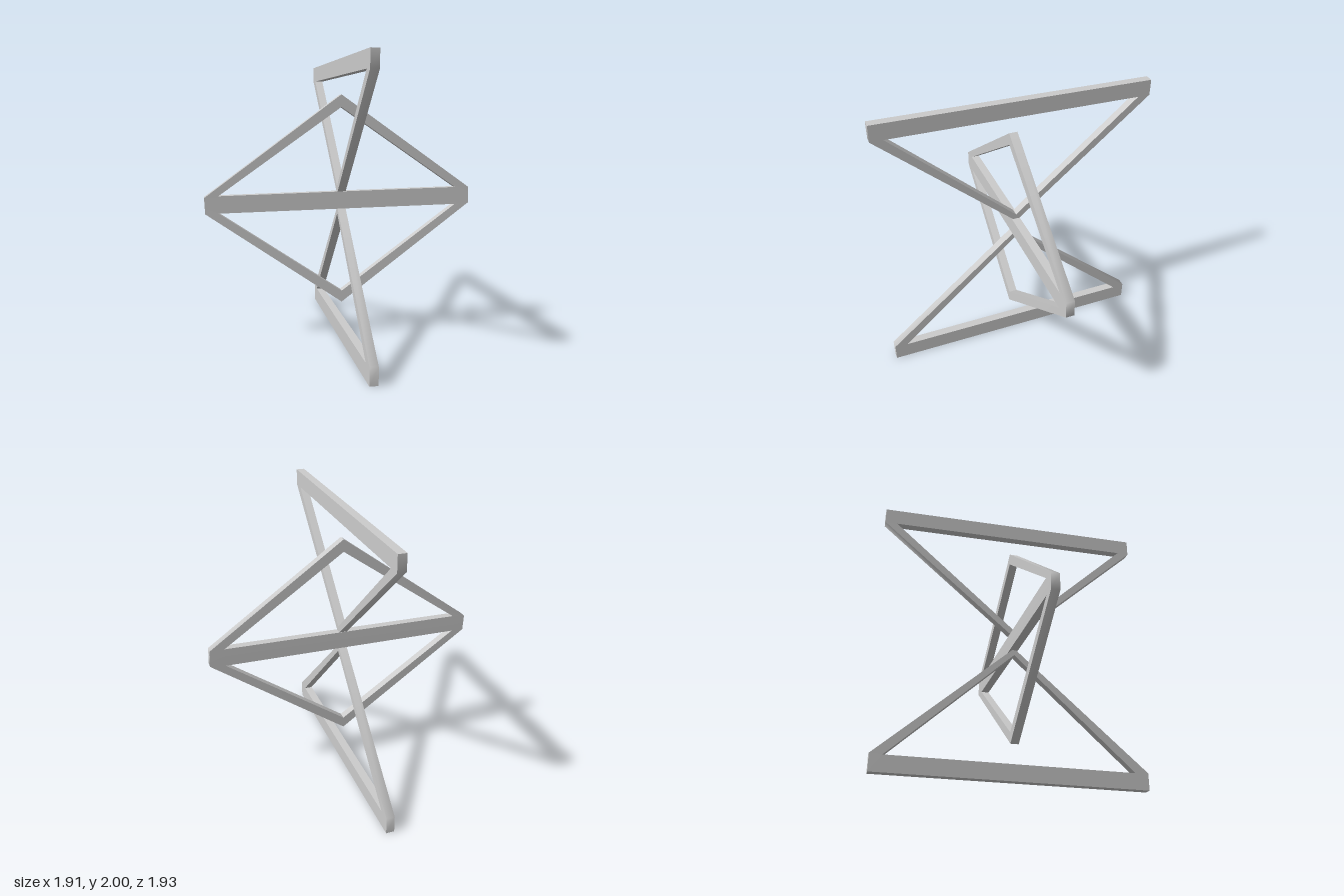
import * as THREE from 'three';
import { toCreasedNormals } from 'three/addons/utils/BufferGeometryUtils.js';

const THICKNESS = 0.058;

// Flat slab cut from a counter-clockwise outline with triangular openings.
// lean(y) gives the offset of the slab's middle from its plane.
function frame(name, outline, openings, lean) {
  const toPoints = (list) => list.map(([x, y]) => new THREE.Vector2(x, y));
  const shape = new THREE.Shape(toPoints(outline));
  for (const hole of openings) shape.holes.push(new THREE.Path(toPoints(hole)));
  const geometry = new THREE.ExtrudeGeometry(shape, { depth: THICKNESS, bevelEnabled: false });
  geometry.translate(0, 0, -THICKNESS / 2);
  const position = geometry.attributes.position;
  for (let i = 0; i < position.count; i++) {
    position.setZ(i, position.getZ(i) + lean(position.getY(i)));
  }
  // Blunt ends blend into the struts, right-angled edges stay sharp
  const mesh = new THREE.Mesh(
    toCreasedNormals(geometry, 1),
    new THREE.MeshStandardMaterial({ color: 0xcccccc }),
  );
  mesh.name = name;
  return mesh;
}

export function createModel() {
  const group = new THREE.Group();
  group.name = 'crossedFrames';

  // Diamond across the width, with a thick bar through its middle;
  // its upper and lower points lean slightly forward
  group.add(frame('diamondFrame',
    [[-0.95, 0.928], [0, 0.26], [0.955, 0.955], [0.95, 1.07], [0, 1.74], [-0.955, 1.04]],
    [
      [[-0.86, 1.05], [0.85, 1.07], [0, 1.653]],
      [[-0.86, 0.93], [0, 0.34], [0.85, 0.945]],
    ],
    (y) => 0.006 + (y > 1 ? 0.009 : 0.017) * Math.abs(y - 1)));

  // Two triangles running front to back, points meeting at the middle bar
  const upper = frame('upperTriangle',
    [[0.945, 2], [-0.96, 1.955], [-0.96, 1.845], [0.005, 1.04], [0.945, 1.885]],
    [[[0.86, 1.885], [0.005, 1.095], [-0.875, 1.845]]],
    () => 0);
  const lower = frame('lowerTriangle',
    [[0.97, 0], [0.97, 0.12], [0.01, 0.95], [-0.935, 0.12], [-0.935, 0]],
    [[[0.875, 0.115], [0.01, 0.9], [-0.85, 0.115]]],
    () => 0);
  for (const triangle of [upper, lower]) {
    triangle.rotation.y = -Math.PI / 2;
    triangle.position.x = 0.004;
    group.add(triangle);
  }

  return group;
}
